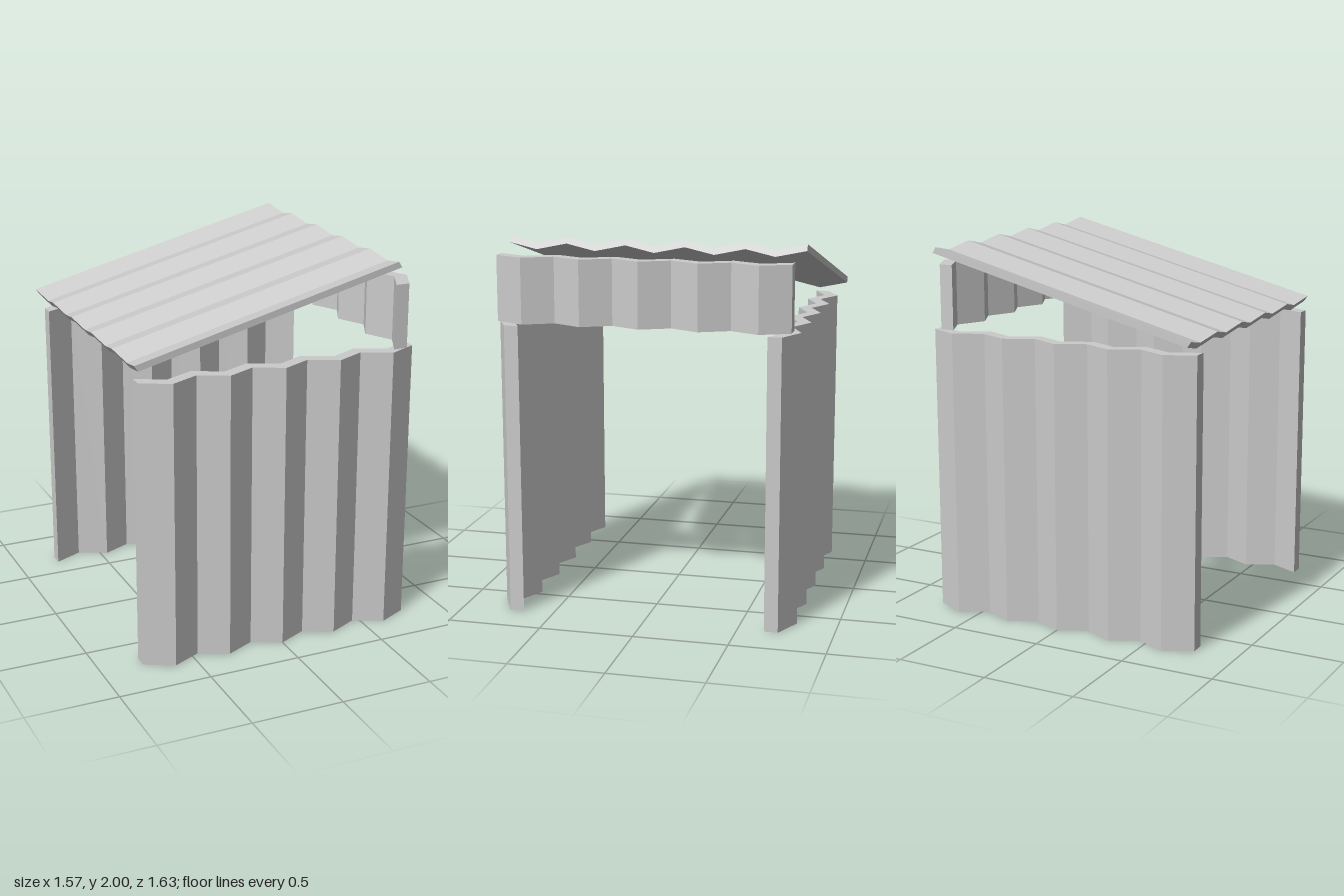
import * as THREE from 'three';

const FOLDS = 10;

// Corrugated sheet profile: length 0..1, folds rise 0..1, one unit thick.
function sheetShape() {
  const outer = [], inner = [];
  for (let i = 0; i <= FOLDS; i++) {
    outer.push(new THREE.Vector2(i / FOLDS, i % 2));
    inner.unshift(new THREE.Vector2(i / FOLDS, (i % 2) - 1));
  }
  return new THREE.Shape([...inner, ...outer]);
}

// Places a sheet: origin corner, vector along the folds' row, bulge vector, extrusion vector.
function sheet(name, origin, along, bulge, extent, material) {
  const geometry = new THREE.ExtrudeGeometry(sheetShape(), { depth: 1, bevelEnabled: false });
  const matrix = new THREE.Matrix4()
    .makeBasis(new THREE.Vector3(...along), new THREE.Vector3(...bulge), new THREE.Vector3(...extent))
    .setPosition(...origin);
  geometry.applyMatrix4(matrix);
  const mesh = new THREE.Mesh(geometry, material);
  mesh.name = name;
  return mesh;
}

export function createModel() {
  const group = new THREE.Group();
  group.name = 'corrugatedShelter';
  const grey = new THREE.MeshStandardMaterial({ color: 0xcccccc, flatShading: true });

  group.add(
    // Upright walls
    sheet('frontWall', [0.77, 0, 0.74], [-1.54, 0, 0], [0, 0, 0.075], [0, 1.545, 0], grey),
    sheet('backWall', [-0.77, 0, -0.713], [1.54, 0, 0], [0, 0, -0.073], [0, 1.545, 0], grey),
    // Short strip under the high edge of the roof
    sheet('upperSidePanel', [0.705, 1.555, -0.75], [0, 0, 1.545], [0.075, 0, 0], [0, 0.345, 0], grey),
    // Sloping roof, folds bulging downward
    sheet('roof', [-0.764, 1.6, -0.82], [0, 0, 1.545], [0.021, -0.031, 0], [1.465, 0.369, 0], grey),
  );
  return group;
}
